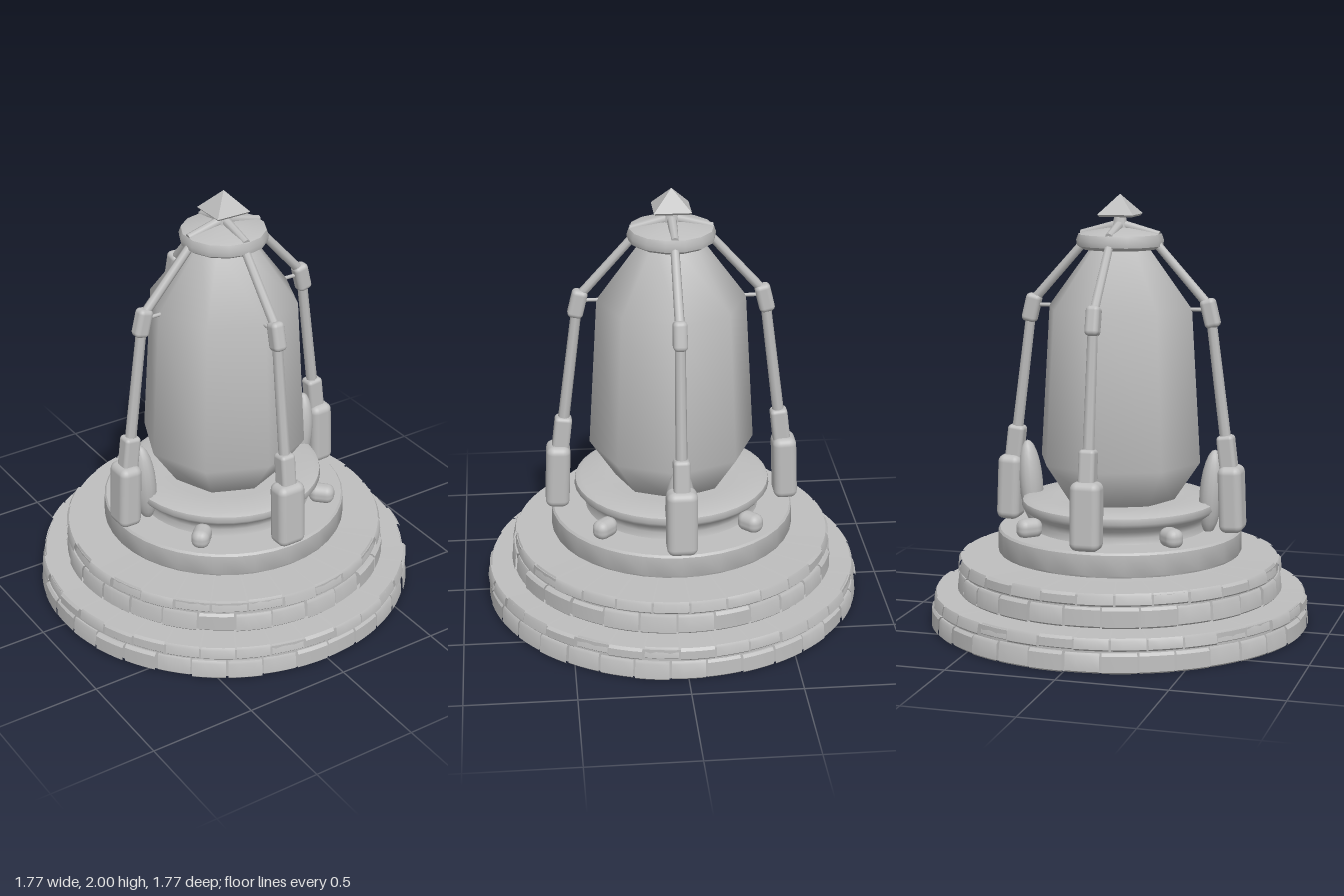
import * as THREE from 'three';
import { toCreasedNormals } from 'three/addons/utils/BufferGeometryUtils.js';
import { RoundedBoxGeometry } from 'three/addons/geometries/RoundedBoxGeometry.js';

const stone = new THREE.MeshStandardMaterial({ color: 0xbebebe });
stone.name = 'grey stone';

// small seeded generator for the uneven masonry
let seed = 7;
const rand = () => (seed = (seed * 16807) % 2147483647) / 2147483647;

function add(parent, name, geometry, x = 0, y = 0, z = 0) {
  const mesh = new THREE.Mesh(geometry, stone);
  mesh.name = name;
  mesh.position.set(x, y, z);
  parent.add(mesh);
  return mesh;
}

const profile = (pts) => pts.map(([r, y]) => new THREE.Vector2(r, y));
const turned = (pts, sides, crease = 0.6) =>
  toCreasedNormals(new THREE.LatheGeometry(profile(pts), sides), crease);

// straight round bar between two points
function rod(parent, name, a, b, r0, r1 = r0, sides = 8) {
  const from = new THREE.Vector3(...a), to = new THREE.Vector3(...b);
  const dir = to.clone().sub(from);
  const mesh = add(parent, name, new THREE.CylinderGeometry(r1, r0, dir.length(), sides));
  mesh.position.copy(from).add(to).multiplyScalar(0.5);
  mesh.quaternion.setFromUnitVectors(new THREE.Vector3(0, 1, 0), dir.normalize());
}

// rounded block tilted in the plane of its arm
function block(parent, name, w, h, d, y, z, tilt, radius) {
  add(parent, name, new RoundedBoxGeometry(w, h, d, 3, radius), 0, y, z).rotation.x = tilt;
}

// one ring of separate, slightly uneven stones
function course(parent, name, count, r, y0, y1, inner) {
  const ring = new THREE.Group();
  ring.name = name;
  const step = (Math.PI * 2) / count;
  const offset = rand() * step;
  for (let i = 0; i < count; i++) {
    const R = r - rand() * 0.014, top = y1 - rand() * 0.006, c = 0.008;
    const pts = profile([[inner, y0], [R - c, y0], [R, y0 + c], [R - rand() * 0.008, top - c * 1.5], [R - c * 1.6, top], [inner, top - 0.002]]);
    const gap = step * 0.03;
    const geo = new THREE.LatheGeometry(pts, 3, offset + i * step + gap, step - gap * 2);
    add(ring, 'stone', toCreasedNormals(geo, 0.6));
  }
  parent.add(ring);
}

export function createModel() {
  seed = 7;
  const model = new THREE.Group();
  model.name = 'capsuleMonument';

  // two masonry steps, each a solid core with two courses of stones
  const steps = [
    { name: 'lowerStep', y: 0, r: 0.893, count: 34, inner: 0.72 },
    { name: 'upperStep', y: 0.163, r: 0.768, count: 28, inner: 0.53 },
  ];
  for (const { name, y, r, count, inner } of steps) {
    const step = new THREE.Group();
    step.name = name;
    const R = r - 0.025;
    add(step, 'core', turned([[0, y], [R, y], [R, y + 0.145], [0, y + 0.145]], 64));
    course(step, 'lowerCourse', count, r, y, y + 0.093, inner);
    course(step, 'upperCourse', count, r - 0.008, y + 0.097, y + 0.157, inner);
    model.add(step);
  }

  // round plinth and the collar that holds the capsule
  add(model, 'plinth', turned([[0, 0.34], [0.567, 0.34], [0.572, 0.35], [0.57, 0.442], [0.562, 0.452], [0, 0.452]], 40));
  add(model, 'collar', turned([
    [0.41, 0.45], [0.4, 0.48], [0.41, 0.51], [0.445, 0.535], [0.46, 0.555],
    [0.455, 0.58], [0.43, 0.592], [0.3, 0.592], [0, 0.575],
  ], 40, 0.9));

  // knobs on the diagonals of the plinth
  for (let i = 0; i < 4; i++) {
    const a = Math.PI / 4 + (i * Math.PI) / 2;
    const knob = add(model, 'knob', new RoundedBoxGeometry(0.085, 0.09, 0.12, 3, 0.038),
      Math.sin(a) * 0.475, 0.488, Math.cos(a) * 0.475);
    knob.rotation.y = a;
  }

  // eight sided capsule
  add(model, 'capsule', new THREE.LatheGeometry(profile([
    [0, 0.57], [0.25, 0.57], [0.385, 0.77], [0.342, 1.48], [0.12, 1.78], [0, 1.78],
  ]), 8));

  // cap with cross ribs and a pointed finial
  const cap = new THREE.Group();
  cap.name = 'cap';
  add(cap, 'capDisc', turned([
    [0, 1.75], [0.175, 1.75], [0.198, 1.765], [0.202, 1.79], [0.192, 1.818], [0.17, 1.826], [0.06, 1.845], [0, 1.85],
  ], 14, 0.7));
  for (let i = 0; i < 4; i++) {
    const a = (i * Math.PI) / 2, s = Math.sin(a), c = Math.cos(a);
    rod(cap, 'capRib', [s * 0.02, 1.857, c * 0.02], [s * 0.185, 1.815, c * 0.185], 0.022, 0.018);
  }
  add(cap, 'finialNeck', new THREE.CylinderGeometry(0.025, 0.04, 0.07, 8), 0, 1.875, 0);
  const point = new THREE.LatheGeometry(profile([[0, 1.898], [0.108, 1.898], [0.12, 1.908], [0, 2]]), 4);
  add(cap, 'finialPoint', toCreasedNormals(point, 0.4)).rotation.y = Math.PI / 4;
  model.add(cap);

  // four jointed arms rising from the plinth to the cap
  for (let i = 0; i < 4; i++) {
    const arm = new THREE.Group();
    arm.name = 'arm';
    block(arm, 'foot', 0.14, 0.31, 0.112, 0.61, 0.537, -0.04, 0.035);
    block(arm, 'sleeve', 0.075, 0.17, 0.08, 0.82, 0.513, -0.12, 0.018);
    rod(arm, 'lowerRod', [0, 0.88, 0.505], [0, 1.42, 0.435], 0.027, 0.024);
    block(arm, 'joint', 0.064, 0.135, 0.072, 1.465, 0.428, -0.24, 0.022);
    rod(arm, 'upperRod', [0, 1.5, 0.42], [0, 1.785, 0.165], 0.022, 0.02);
    rod(arm, 'capsulePin', [0, 1.48, 0.32], [0, 1.48, 0.42], 0.009);
    // the side feet lean on rounded buttresses
    if (i % 2) {
      const lobe = add(arm, 'buttress', new THREE.SphereGeometry(1, 16, 12), 0, 0.635, 0.44);
      lobe.scale.set(0.068, 0.2, 0.055);
      lobe.rotation.x = 0.08;
    }
    arm.rotation.y = (i * Math.PI) / 2;
    model.add(arm);
  }
  return model;
}
